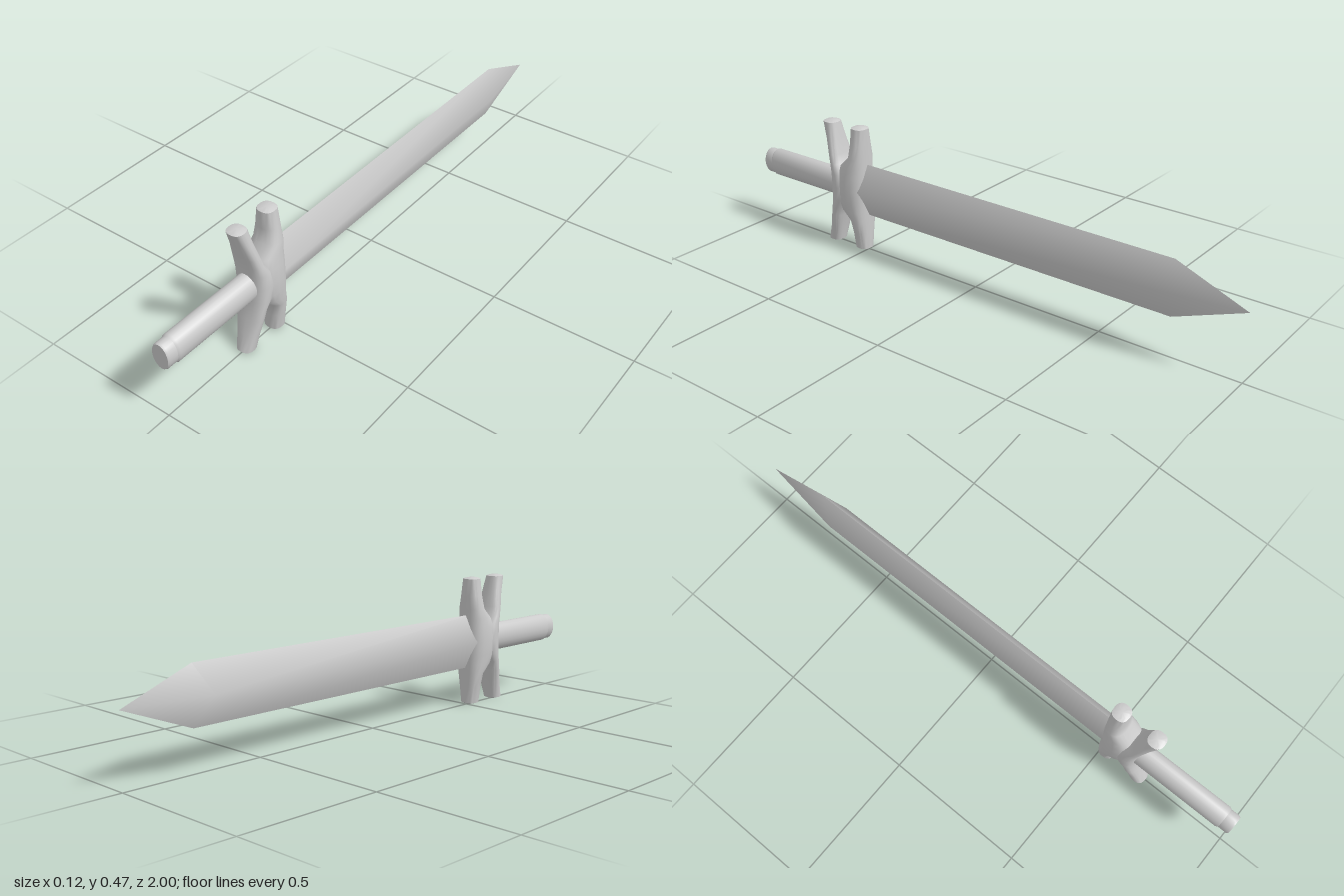
import * as THREE from 'three';
import { toCreasedNormals, mergeVertices } from 'three/addons/utils/BufferGeometryUtils.js';

const MID = 0.237; // height of the sword's axis
const material = new THREE.MeshStandardMaterial({ color: 0xcccccc });

function meshFrom(points, index, crease) {
  const g = new THREE.BufferGeometry();
  g.setAttribute('position', new THREE.Float32BufferAttribute(points, 3));
  g.setIndex(index);
  return toCreasedNormals(g, crease);
}

// Stacks rounded rings along y; section = [y, zCentre, xRadius, zRadius]
function loft(sections, power, sides = 20, crease = 0.75) {
  const points = [], index = [];
  const bulge = (v) => Math.sign(v) * Math.pow(Math.abs(v), 2 / power);
  sections.forEach(([y, cz, rx, rz], r) => {
    for (let i = 0; i < sides; i++) {
      const a = (i / sides) * Math.PI * 2;
      points.push(rx * bulge(Math.cos(a)), y, cz + rz * bulge(Math.sin(a)));
      if (r === 0) continue;
      const n = (i + 1) % sides, lo = (r - 1) * sides, hi = r * sides;
      if (sections[r - 1][2] > 0) index.push(lo + i, hi + i, lo + n);
      if (rx > 0) index.push(lo + n, hi + i, hi + n);
    }
  });
  return meshFrom(points, index, crease);
}

// Guard bar from its upper half [height, zBack, zFront, xRadius], mirrored downward
function guardBar(name, half) {
  const toSection = (s) => ([t, back, front, rx]) =>
    [s * t, (back + front) / 2, rx, rx > 0 ? (front - back) / 2 : 0];
  const lower = half.slice(1).reverse().map(toSection(-1));
  const mesh = new THREE.Mesh(loft([...lower, ...half.map(toSection(1))], 2.5), material);
  mesh.name = name;
  return mesh;
}

// Diamond-section blade: soft central ridges, sharp edges, pointed tip
function blade() {
  const points = [], index = [];
  const rows = [[0.52, 0.52], [-0.75, -0.70]]; // z at edge, z at ridge
  for (const [ze, zr] of rows) {
    points.push(0, 0.098, ze, 0.045, 0, zr, 0, -0.098, ze, -0.045, 0, zr);
  }
  points.push(0, 0, -1);
  for (let i = 0; i < 4; i++) {
    const n = (i + 1) % 4;
    index.push(i, n, 4 + i, n, 4 + n, 4 + i, 4 + i, 4 + n, 8);
  }
  index.push(0, 2, 1, 0, 3, 2);
  const mesh = new THREE.Mesh(meshFrom(points, index, 1.0), material);
  mesh.name = 'blade';
  return mesh;
}

// Oval handle part running along z
function handlePart(name, sections) {
  const g = loft(sections.map(([z, rx, ry]) => [z, 0, rx, ry]), 2, 20);
  g.rotateX(Math.PI / 2);
  const mesh = new THREE.Mesh(g, material);
  mesh.name = name;
  return mesh;
}

export function createModel() {
  const sword = new THREE.Group();
  sword.name = 'sword';

  sword.add(blade());

  // Front bar sweeps forward toward its ends
  sword.add(guardBar('frontGuardBar', [
    [0, 0.55, 0.637, 0.06], [0.05, 0.565, 0.638, 0.058], [0.085, 0.592, 0.642, 0.053],
    [0.12, 0.602, 0.65, 0.049], [0.17, 0.615, 0.664, 0.039], [0.231, 0.628, 0.685, 0.03],
    [0.235, 0.636, 0.677, 0.018], [0.237, 0.655, 0.655, 0],
  ]));
  // Rear bar is straight, thickening where it meets the front bar
  sword.add(guardBar('rearGuardBar', [
    [0, 0.49, 0.62, 0.06], [0.05, 0.49, 0.612, 0.058], [0.085, 0.49, 0.598, 0.053],
    [0.12, 0.491, 0.558, 0.049], [0.17, 0.491, 0.552, 0.039], [0.231, 0.492, 0.55, 0.03],
    [0.235, 0.5, 0.542, 0.018], [0.237, 0.521, 0.521, 0],
  ]));

  sword.add(handlePart('grip', [
    [0.58, 0.038, 0.052], [0.955, 0.038, 0.052], [0.965, 0.033, 0.047], [0.965, 0, 0],
  ]));
  sword.add(handlePart('pommel', [
    [0.96, 0.034, 0.048], [0.994, 0.034, 0.048], [1, 0.031, 0.045], [1, 0, 0],
  ]));

  sword.children.forEach((part) => { part.position.y = MID; });
  return sword;
}
